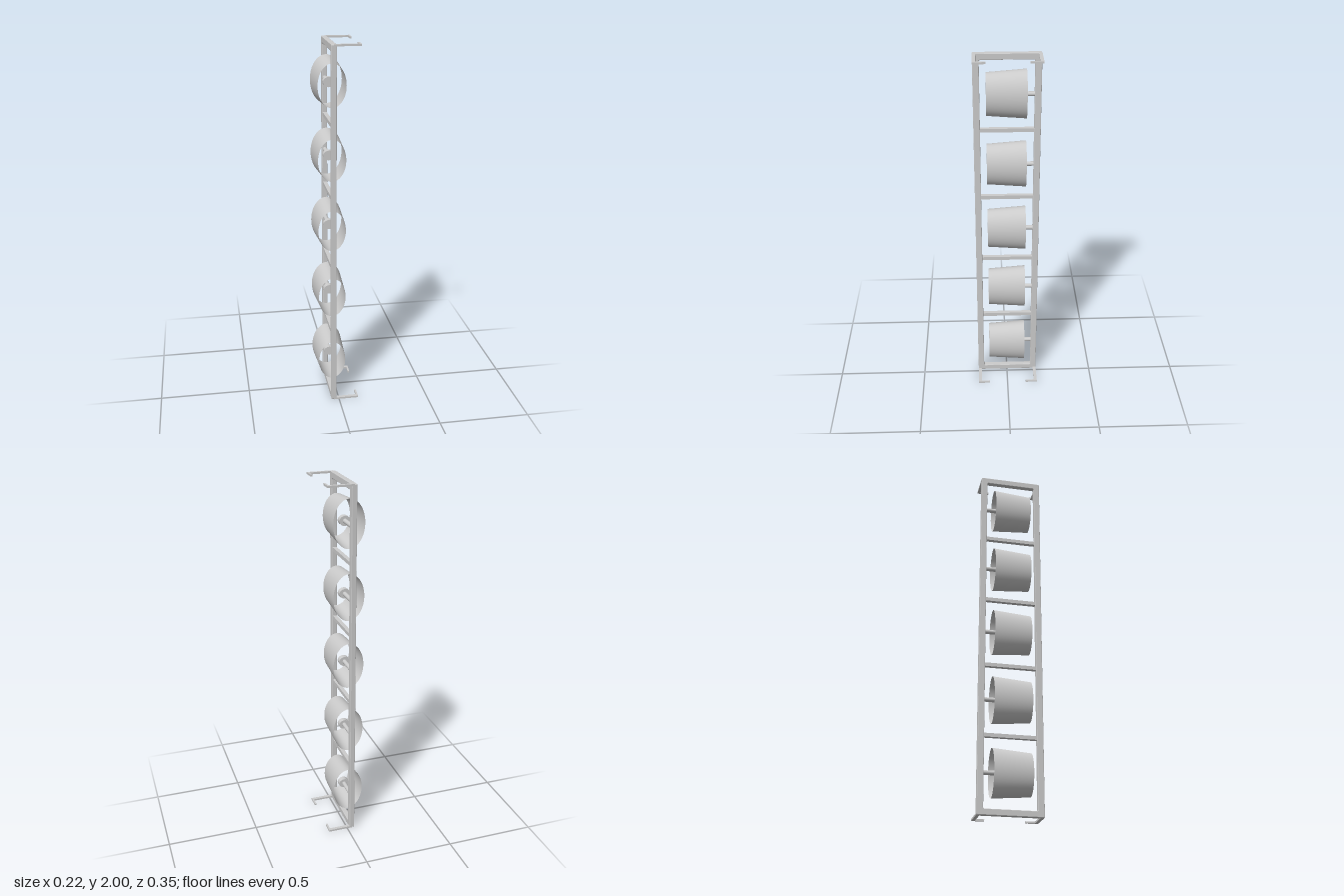
import * as THREE from 'three';

const grey = new THREE.MeshStandardMaterial({ color: 0xcccccc });
const thin = new THREE.MeshStandardMaterial({ color: 0xcccccc, side: THREE.DoubleSide });

const FRAME_X = -0.029; // centre plane of the frame
const BACK = -0.175, FRONT = 0.172; // frame extent along z
const LAMPS = 5, PITCH = 0.391, FIRST_Y = 0.22;

function roundedRect(path, x0, y0, x1, y1, r) {
  path.absarc(x1 - r, y0 + r, r, -Math.PI / 2, 0);
  path.absarc(x1 - r, y1 - r, r, 0, Math.PI / 2);
  path.absarc(x0 + r, y1 - r, r, Math.PI / 2, Math.PI);
  path.absarc(x0 + r, y0 + r, r, Math.PI, Math.PI * 1.5);
  path.closePath();
  return path;
}

function add(parent, name, geometry, x, y, z, material = grey) {
  const mesh = new THREE.Mesh(geometry, material);
  mesh.name = name;
  mesh.position.set(x, y, z);
  parent.add(mesh);
  return mesh;
}

// Tall rectangular frame with softened edges
function frameGeometry() {
  const b = 0.003;
  const shape = roundedRect(new THREE.Shape(), BACK + b, 0.004 + b, FRONT - b, 2 - b, 0.003);
  shape.holes.push(roundedRect(new THREE.Path(), BACK + 0.028 + b, 0.03 + b, FRONT - 0.028 - b, 1.972 - b, 0.01));
  const depth = 0.028 - 2 * b;
  const g = new THREE.ExtrudeGeometry(shape, {
    depth, bevelEnabled: true, bevelSize: b, bevelThickness: b, bevelSegments: 2, curveSegments: 5,
  });
  g.translate(0, 0, -depth / 2);
  return g.rotateY(-Math.PI / 2);
}

// Flat L-shaped wall bracket; side = -1 for the back, 1 for the front
function bracketGeometry(side) {
  const outer = side < 0 ? BACK : FRONT;
  const inner = outer - side * 0.018;
  const tip = outer - side * 0.066;
  const pts = [[-0.03, outer], [0.11, outer], [0.11, tip], [0.1, tip], [0.1, inner], [-0.03, inner]];
  const shape = new THREE.Shape(pts.map(([x, z]) => new THREE.Vector2(x, -z)));
  const g = new THREE.ExtrudeGeometry(shape, { depth: 0.01, bevelEnabled: false });
  return g.rotateX(-Math.PI / 2);
}

export function createModel() {
  const model = new THREE.Group();
  model.name = 'lampLadder';

  add(model, 'frame', frameGeometry(), FRAME_X, 0, 0);

  // Dividers between the lamps
  for (let i = 0; i < LAMPS - 1; i++) {
    add(model, 'crossbar', new THREE.BoxGeometry(0.022, 0.02, 0.31), FRAME_X, FIRST_Y + PITCH * (i + 0.5), 0);
  }

  // Hooked brackets at the top and bottom corners
  for (const side of [-1, 1]) {
    for (const y of [1.99, 0.004]) add(model, 'wallBracket', bracketGeometry(side), 0, y, 0);
  }

  // Oval open shade, arm from the back post and lamp holder
  const shade = new THREE.CylinderGeometry(0.113, 0.129, 0.206, 48, 1, true);
  shade.rotateX(Math.PI / 2).scale(0.66, 1, 1);
  const arm = new THREE.CylinderGeometry(0.012, 0.012, 0.13, 20).rotateX(Math.PI / 2);
  const holder = new THREE.CylinderGeometry(0.027, 0.027, 0.03, 28).rotateX(Math.PI / 2).scale(1.1, 0.98, 1);
  for (let i = 0; i < LAMPS; i++) {
    const lamp = new THREE.Group();
    lamp.name = 'lamp';
    lamp.position.set(-0.028, FIRST_Y + PITCH * i, 0);
    add(lamp, 'shade', shade, 0, 0, 0.002, thin);
    add(lamp, 'arm', arm, 0, 0, -0.09);
    add(lamp, 'lampHolder', holder, 0, 0, -0.02);
    model.add(lamp);
  }
  return model;
}
